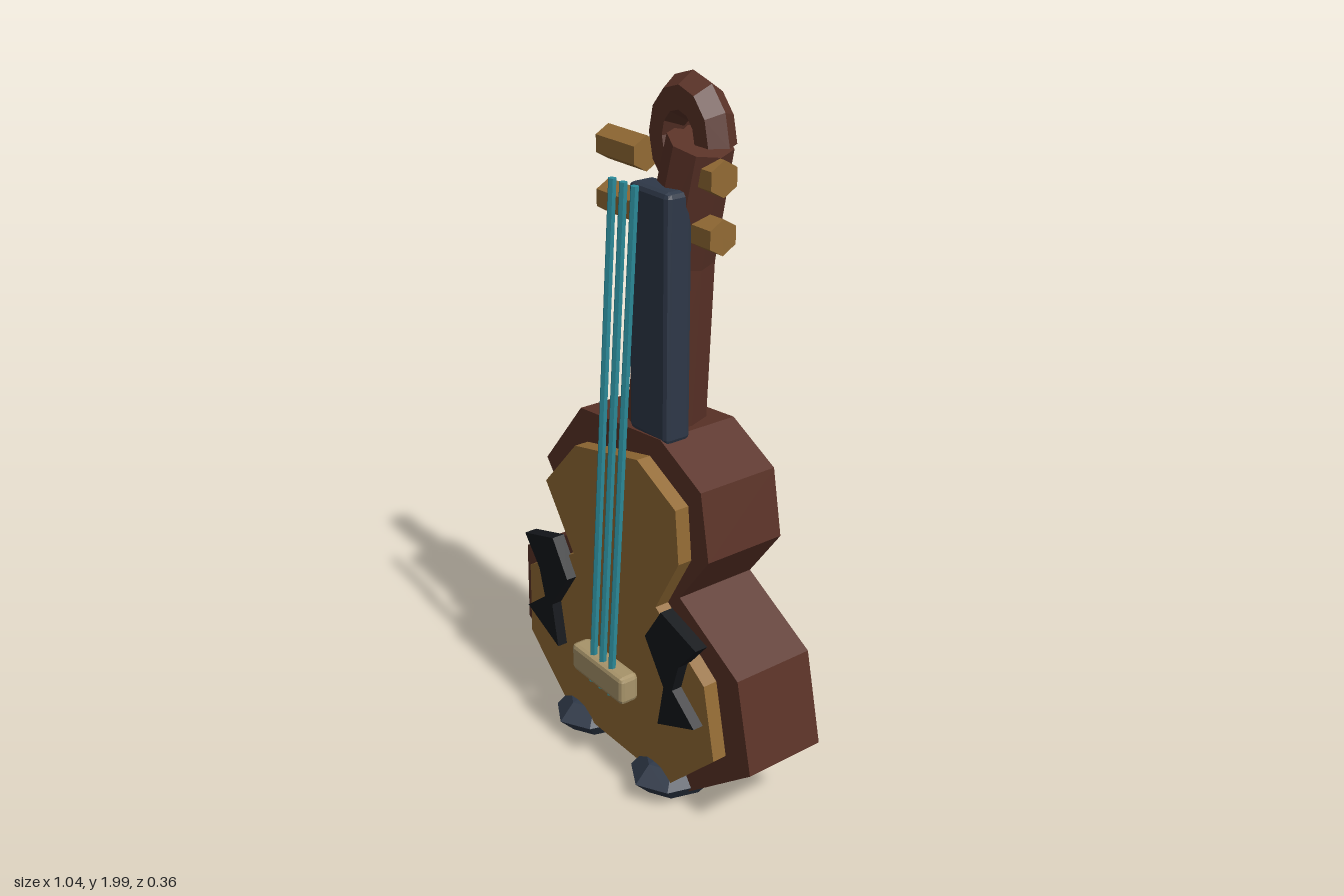
import * as THREE from 'three';
import { RoundedBoxGeometry } from 'three/addons/geometries/RoundedBoxGeometry.js';

const mat = (color) => new THREE.MeshStandardMaterial({ color, flatShading: true });

export function createModel() {
  const model = new THREE.Group();
  const brown = mat(0x5a3227), gold = mat(0x926a34), slate = mat(0x2e3848);
  const black = mat(0x14171b), teal = mat(0x2b8a99), cream = mat(0xa8946a);

  const add = (name, geometry, material, x = 0, y = 0, z = 0) => {
    const mesh = new THREE.Mesh(geometry, material);
    mesh.name = name;
    mesh.position.set(x, y, z);
    model.add(mesh);
    return mesh;
  };
  // Flat slab from an outline, between two depths
  const slab = (name, points, z0, z1, material) => {
    const shape = new THREE.Shape(points.map(([x, y]) => new THREE.Vector2(x, y)));
    const geometry = new THREE.ExtrudeGeometry(shape, { depth: z1 - z0, bevelEnabled: false });
    return add(name, geometry, material, 0, 0, z0);
  };
  // Straight rod between two points, tapering from r0 to r1
  const rod = (name, a, b, r0, r1, sides, material) => {
    const dir = new THREE.Vector3().subVectors(b, a);
    const mesh = add(name, new THREE.CylinderGeometry(r1, r0, dir.length(), sides), material);
    mesh.position.addVectors(a, b).multiplyScalar(0.5);
    mesh.quaternion.setFromUnitVectors(new THREE.Vector3(0, 1, 0), dir.normalize());
    return mesh;
  };

  // Body and front plate
  slab('body', [
    [-0.3, 0.06], [0.27, 0.06], [0.52, 0.265], [0.46, 0.525], [0.22, 0.66], [0.335, 0.815],
    [0.3, 1.0], [0.135, 1.085], [-0.22, 1.05], [-0.395, 0.835], [-0.25, 0.65], [-0.52, 0.49], [-0.525, 0.24],
  ], -0.18, 0.063, brown);
  slab('frontPlate', [
    [-0.25, 0.09], [0.24, 0.09], [0.43, 0.28], [0.385, 0.49], [0.18, 0.63], [0.275, 0.8],
    [0.26, 0.95], [0.1, 1.03], [-0.18, 0.965], [-0.33, 0.8], [-0.2, 0.62], [-0.43, 0.48], [-0.435, 0.25],
  ], 0.07, 0.112, gold);

  // Zigzag sound holes, mirrored
  const zigzag = [
    [0.395, 0.61], [0.25, 0.655], [0.182, 0.55], [0.263, 0.43],
    [0.238, 0.3], [0.392, 0.368], [0.3, 0.44], [0.325, 0.525],
  ];
  for (const side of [-1, 1]) {
    const outline = zigzag.map(([x, y]) => [side * x - 0.008, y]);
    slab(side > 0 ? 'leftSoundHole' : 'rightSoundHole', outline, 0.105, 0.143, black);
  }

  // Feet
  for (const x of [-0.195, 0.175]) {
    const foot = new THREE.SphereGeometry(1, 8, 4).scale(0.118, 0.068, 0.158);
    add('foot', foot, slate, x, 0.077, 0.018);
  }

  // Bent, tapering neck lofted from eight-sided sections
  const sections = [
    { x: 0.0, y: 1.03, r: 0.107, lean: 0.1 },
    { x: 0.05, y: 1.53, r: 0.092, lean: 0.18 },
    { x: 0.13, y: 1.835, r: 0.083, lean: 0.3 },
  ];
  const neck = new THREE.CylinderGeometry(1, 1, 2, 8, 2);
  const p = neck.attributes.position;
  for (let i = 0; i < p.count; i++) {
    const s = sections[Math.round(p.getY(i)) + 1];
    const across = p.getX(i) * s.r;
    p.setXYZ(i, s.x + across * Math.cos(s.lean), s.y - across * Math.sin(s.lean), p.getZ(i) * s.r - 0.058);
  }
  add('neck', neck, brown);

  // Curled scroll with end cap
  const curl = new THREE.TorusGeometry(0.088, 0.051, 6, 8, Math.PI * 4 / 3).scale(1, 1.15, 1);
  add('scroll', curl, brown, 0.105, 1.84, -0.053);
  add('scrollEnd', new THREE.CircleGeometry(0.051, 6).rotateX(Math.PI / 2), brown, 0.193, 1.84, -0.053);

  // Fingerboard and bridge with chamfered edges
  add('fingerboard', new RoundedBoxGeometry(0.16, 0.66, 0.08, 1, 0.015), slate, 0.075, 1.4, 0.02);
  add('bridge', new RoundedBoxGeometry(0.24, 0.085, 0.06, 1, 0.013), cream, -0.01, 0.342, 0.145);

  // Strings
  for (let i = 0; i < 3; i++) {
    const bottom = new THREE.Vector3(-0.05 + i * 0.043, 0.295, 0.158);
    const top = new THREE.Vector3(i * 0.045, 1.745, 0.108);
    rod('string', bottom, top, 0.011, 0.011, 6, teal);
  }

  // Hexagonal pegs
  for (const y of [1.62, 1.763]) {
    for (const x of [-0.16, 0.143]) {
      const peg = new THREE.CylinderGeometry(0.046, 0.046, 0.163, 6).rotateY(Math.PI / 2).rotateZ(Math.PI / 2);
      add('peg', peg, gold, x, y, -0.055);
    }
  }
  return model;
}
